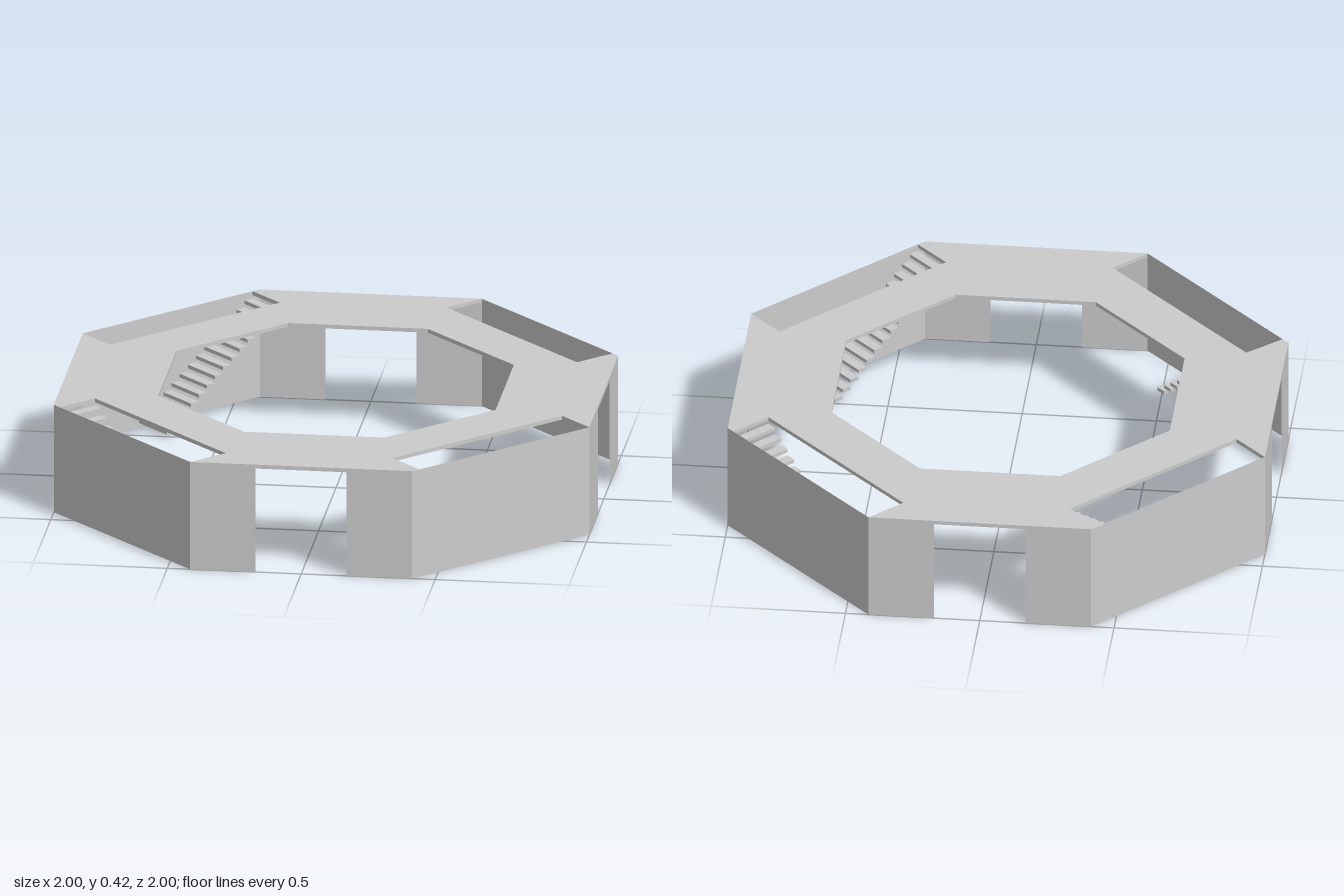
import * as THREE from 'three';

const HEIGHT = 0.42;       // top of deck and walls
const DECK = 0.015;        // deck thickness
const HALF = Math.SQRT2 - 1; // half side of an octagon with apothem 1
const INNER = 0.63;        // apothem of the central opening
const CUT = 0.834;         // apothem where the stairwell ends
const STAIR_TOP = -0.38, STAIR_END = 0.15, STEPS = 14;

const material = new THREE.MeshStandardMaterial({ color: 0xcccccc, flatShading: true, side: THREE.DoubleSide });

function addMesh(parent, name, geometry, x, y, z) {
  const mesh = new THREE.Mesh(geometry, material);
  mesh.name = name;
  mesh.position.set(x, y, z);
  parent.add(mesh);
  return mesh;
}

// Octagonal ring with a stairwell notch along each diagonal side
function deckGeometry() {
  const outline = [];
  for (let k = 0; k < 4; k++) {
    const a = Math.PI / 4 - k * Math.PI / 2;
    const notch = [[HALF, 1], [HALF, CUT], [STAIR_TOP, CUT], [STAIR_TOP, 1], [-HALF, 1]];
    for (const [t, n] of notch) {
      outline.push(new THREE.Vector2(
        t * Math.cos(a) + n * Math.sin(a),
        -t * Math.sin(a) + n * Math.cos(a)));
    }
  }
  const shape = new THREE.Shape(outline);
  const r = INNER / Math.cos(Math.PI / 8);
  const hole = [];
  for (let i = 0; i < 8; i++) {
    const a = (i + 0.5) * Math.PI / 4;
    hole.push(new THREE.Vector2(r * Math.cos(a), r * Math.sin(a)));
  }
  shape.holes.push(new THREE.Path(hole));
  return new THREE.ExtrudeGeometry(shape, { depth: DECK, bevelEnabled: false }).rotateX(Math.PI / 2);
}

// Open flight of treads climbing along the inside of a diagonal wall
function addStairs(parent) {
  const stairs = new THREE.Group();
  stairs.name = 'stairs';
  parent.add(stairs);
  const run = (STAIR_END - STAIR_TOP) / STEPS;
  const rise = HEIGHT / (STEPS + 1);
  const tread = new THREE.BoxGeometry(run, 0.014, 1 - CUT);
  for (let i = 0; i < STEPS; i++) {
    addMesh(stairs, 'tread', tread,
      STAIR_END - (i + 0.5) * run, (i + 1) * rise - 0.007, (1 + CUT) / 2);
  }
}

export function createModel() {
  const model = new THREE.Group();
  model.name = 'octagonalGallery';
  addMesh(model, 'deck', deckGeometry(), 0, HEIGHT, 0);

  const gap = 0.17; // half width of each doorway
  const fullWall = new THREE.PlaneGeometry(2 * HALF, HEIGHT);
  const sideWall = new THREE.PlaneGeometry(HALF - gap, HEIGHT);

  for (let k = 0; k < 4; k++) {
    // Straight side with a doorway in the middle
    const entrance = new THREE.Group();
    entrance.name = 'entranceSide';
    entrance.rotation.y = k * Math.PI / 2;
    for (const s of [-1, 1]) {
      addMesh(entrance, 'doorwayWall', sideWall, s * (HALF + gap) / 2, HEIGHT / 2, 1);
    }
    model.add(entrance);

    // Diagonal side with a solid wall and stairs
    const diagonal = new THREE.Group();
    diagonal.name = 'stairSide';
    diagonal.rotation.y = Math.PI / 4 + k * Math.PI / 2;
    addMesh(diagonal, 'wall', fullWall, 0, HEIGHT / 2, 1);
    addStairs(diagonal);
    model.add(diagonal);
  }
  return model;
}
